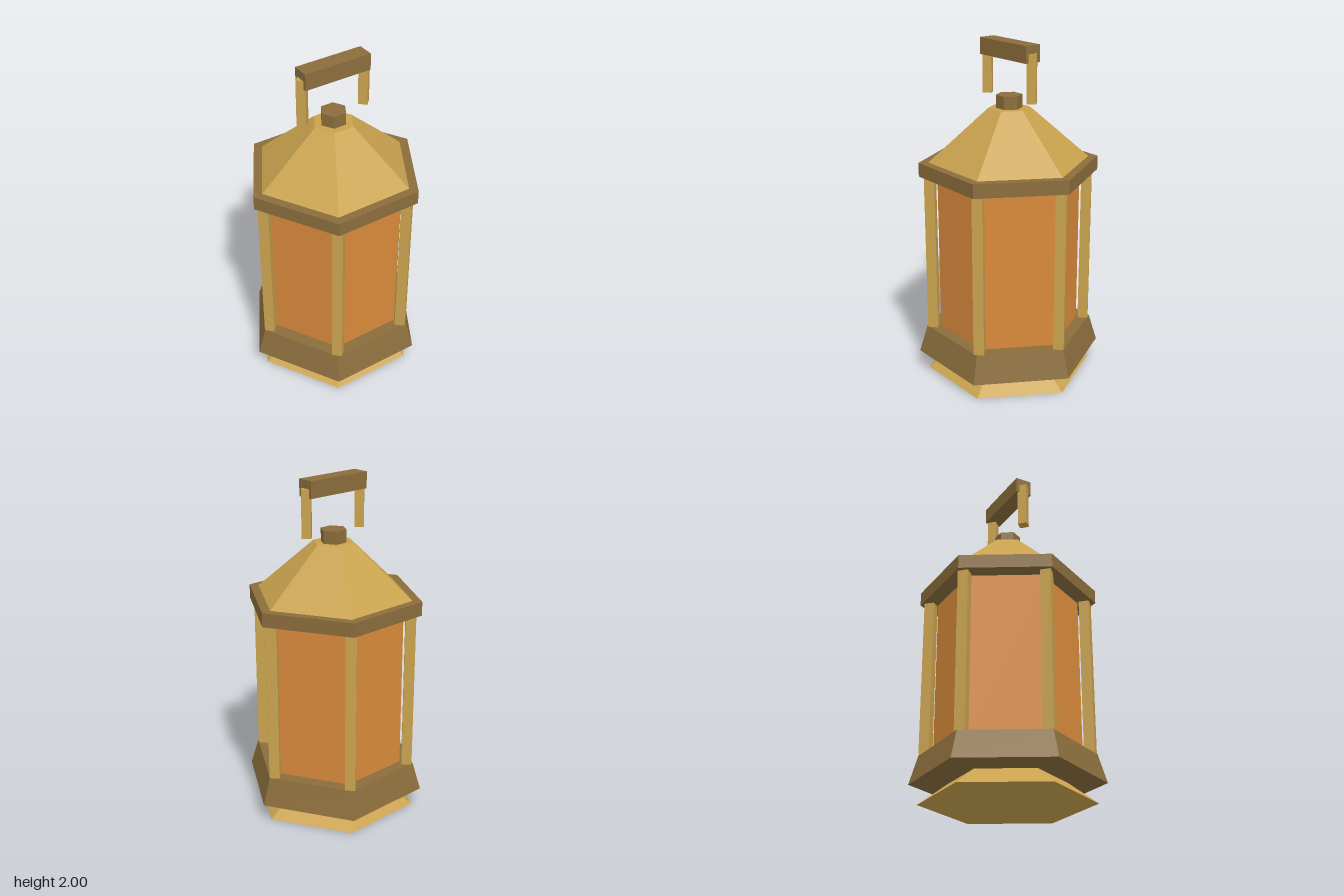
import * as THREE from 'three';

const material = (name, color) => {
  const m = new THREE.MeshStandardMaterial({ color });
  m.name = name;
  return m;
};

export function createModel() {
  const gold = material('brass', 0xc9a24e);
  const brown = material('dark bronze', 0x8b6d3c);
  const amber = material('amber glass', 0xd98a3b);
  const lantern = new THREE.Group();
  lantern.name = 'lantern';

  const add = (name, geometry, mat, x = 0, y = 0, z = 0) => {
    const mesh = new THREE.Mesh(geometry, mat);
    mesh.name = name;
    mesh.position.set(x, y, z);
    lantern.add(mesh);
    return mesh;
  };

  // Faceted ring of sides between two heights, with sharp edges
  const prism = (sides, rTop, rBottom, y0, y1, start) =>
    new THREE.CylinderGeometry(rTop, rBottom, y1 - y0, sides, 1, false, start)
      .toNonIndexed().translate(0, (y0 + y1) / 2, 0);
  const flat = (g) => { g.computeVertexNormals(); return g; };
  // Hexagon with corners on the x axis
  const hex = (name, rTop, rBottom, y0, y1, mat) =>
    add(name, flat(prism(6, rTop, rBottom, y0, y1, Math.PI / 6)), mat);
  // Square bar turned so its corners lie on the axes
  const diamond = (name, r, y0, y1, x, z) =>
    add(name, flat(prism(4, r, r, y0, y1, 0)), gold, x, 0, z);

  // Body, from the ground up
  hex('foot', 0.315, 0.5, 0, 0.13, gold);
  hex('baseSkirt', 0.503, 0.553, 0.115, 0.28, brown);
  hex('glass', 0.42, 0.42, 0.28, 1.23, amber);
  hex('roofRim', 0.527, 0.527, 1.23, 1.312, brown);
  hex('roof', 0.122, 0.47, 1.312, 1.62, gold);
  hex('knob', 0.077, 0.077, 1.615, 1.695, brown);

  // Corner posts
  for (let i = 0; i < 6; i++) {
    const a = (i * Math.PI) / 3;
    diamond('cornerPost', 0.043, 0.28, 1.23, Math.cos(a) * 0.463, Math.sin(a) * 0.463);
  }

  // Carrying handle
  for (const side of [-1, 1]) diamond('handlePost', 0.038, 1.677, 1.953, side * 0.2, 0);
  add('handleBar', new THREE.BoxGeometry(0.415, 0.097, 0.1), brown, 0, 1.9515, 0);

  return lantern;
}
